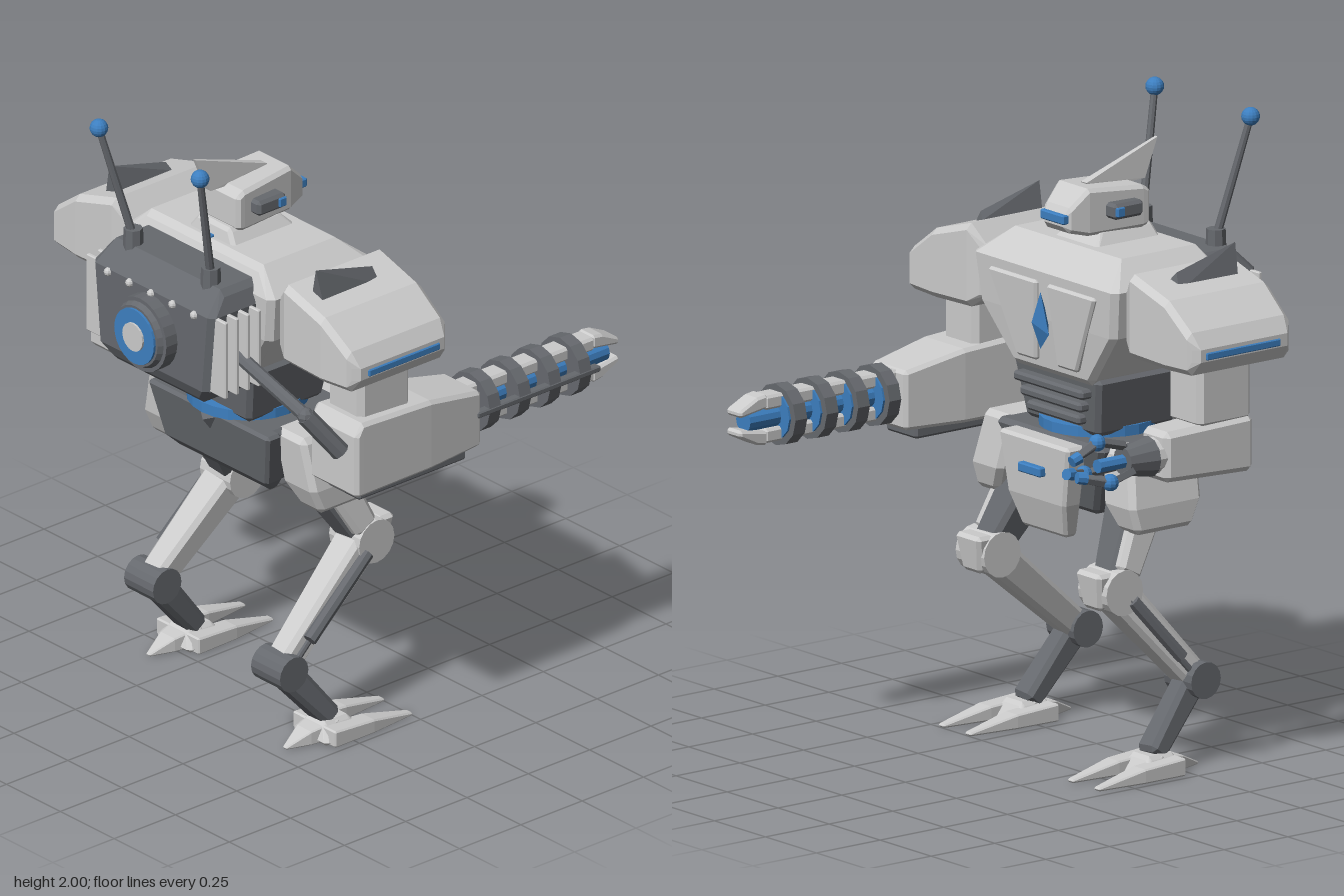
import * as THREE from 'three';
import { ConvexGeometry } from 'three/addons/geometries/ConvexGeometry.js';

const mat = (color) => new THREE.MeshStandardMaterial({ color, flatShading: true });
const light = mat(0xcccccc), dark = mat(0x66696e), blue = mat(0x3d7fc0);
const V = (p) => new THREE.Vector3(...p);

export function createModel() {
  const root = new THREE.Group();

  const add = (name, geo, m, parent = root) => {
    const mesh = new THREE.Mesh(geo, m);
    mesh.name = name;
    parent.add(mesh);
    return mesh;
  };
  const group = (name) => {
    const g = new THREE.Group();
    g.name = name;
    root.add(g);
    return g;
  };

  // Chamfered convex block through sections [u, a0, a1, b0, b1] along an axis; s = -1 mirrors x.
  // Axis y: a = x, b = z.  Axis z: a = x, b = y.  Axis x: a = y, b = z.
  const block = (secs, c = 0.015, axis = 'y', s = 1) => {
    const pts = [];
    const put = (u, a, b) => {
      const p = axis === 'y' ? [a, u, b] : axis === 'z' ? [a, b, u] : [u, a, b];
      pts.push(new THREE.Vector3(p[0] * s, p[1], p[2]));
    };
    const up = Math.sign(secs[secs.length - 1][0] - secs[0][0]);
    secs.forEach(([u, a0, a1, b0, b1], i) => {
      const first = i === 0, last = i === secs.length - 1;
      const v = u + (first ? c : last ? -c : 0) * up;
      for (const [a, da] of [[a0, c], [a1, -c]]) for (const [b, db] of [[b0, c], [b1, -c]]) {
        put(v, a + da, b);
        put(v, a, b + db);
        if (first || last) put(u, a + da, b + db);
      }
    });
    return new ConvexGeometry(pts);
  };
  const box = (x0, x1, y0, y1, z0, z1, c = 0.008, s = 1) =>
    block([[y0, x0, x1, z0, z1], [y1, x0, x1, z0, z1]], c, 'y', s);
  // Place a y-aligned geometry between two points
  const between = (name, a, b, make, m, parent) => {
    const A = V(a), B = V(b), d = B.clone().sub(A);
    const mesh = add(name, make(d.length()), m, parent);
    mesh.position.copy(A).add(B).multiplyScalar(0.5);
    mesh.quaternion.setFromUnitVectors(new THREE.Vector3(0, 1, 0), d.normalize());
    return mesh;
  };
  const rod = (name, a, b, r0, r1, m, parent, n = 8) =>
    between(name, a, b, (h) => new THREE.CylinderGeometry(r1, r0, h, n), m, parent);
  const limb = (name, a, b, [w0, d0], [w1, d1], m, parent) =>
    between(name, a, b, (h) => block([[-h / 2, -w0, w0, -d0, d0], [h / 2, -w1, w1, -d1, d1]], 0.015), m, parent);

  // Torso
  const torso = group('torso');
  add('chest', block([[1.2, -0.2, 0.2, 0.07, 0.42], [1.38, -0.33, 0.33, 0.05, 0.47],
    [1.53, -0.35, 0.35, 0.04, 0.48], [1.61, -0.28, 0.28, 0.12, 0.45]], 0.02), light, torso);
  for (const s of [-1, 1]) {
    add('chestPlate', block([[1.24, 0.05, 0.15, 0.05, 0.1], [1.5, 0.025, 0.26, 0.03, 0.09]], 0.008, 'y', s), light, torso);
  }
  const gem = [[0, 1.47, 0.03], [0, 1.29, 0.03], [0.035, 1.34, 0.035], [-0.035, 1.34, 0.035], [0, 1.38, -0.005], [0, 1.38, 0.06]];
  add('chestCrystal', new ConvexGeometry(gem.map(V)), blue, torso);
  add('abdomen', block([[1.03, -0.18, 0.18, 0.11, 0.42], [1.22, -0.21, 0.21, 0.09, 0.44]]), dark, torso);
  for (let i = 0; i < 3; i++) {
    const w = 0.13 + i * 0.02;
    add('abdomenSlat', box(-w, w, 1.065 + i * 0.045, 1.095 + i * 0.045, 0.075 - i * 0.01, 0.16), dark, torso);
  }
  add('waistRing', new THREE.CylinderGeometry(0.19, 0.19, 0.035, 24), blue, torso).position.set(0, 1.035, 0.265);

  // Pelvis
  const pelvis = group('pelvis');
  add('pelvisCore', block([[0.78, -0.16, 0.16, 0.12, 0.34], [1.02, -0.26, 0.26, 0.06, 0.4]]), dark, pelvis);
  add('rearFlap', block([[0.8, -0.22, 0.22, 0.33, 0.37], [0.84, -0.24, 0.24, 0.33, 0.4],
    [1.02, -0.28, 0.28, 0.37, 0.43]], 0.01), dark, pelvis);
  add('rearFlapNotch', new ConvexGeometry([[-0.05, 1.01, 0.42], [0.05, 1.01, 0.42], [0, 0.95, 0.42], [0, 0.99, 0.45]].map(V)), dark, pelvis);
  add('frontFlap', block([[0.71, -0.11, 0.11, 0.04, 0.09], [0.82, -0.14, 0.14, 0.01, 0.08],
    [1.01, -0.17, 0.17, 0.0, 0.08]], 0.01), light, pelvis);
  add('frontFlapLight', box(-0.055, 0.055, 0.9, 0.93, -0.018, 0.02, 0.004), blue, pelvis);
  for (const s of [-1, 1]) {
    add('hipPlate', block([[0.765, 0.29, 0.4, 0.09, 0.32], [0.85, 0.25, 0.4, 0.07, 0.35],
      [1.02, 0.22, 0.365, 0.09, 0.36]], 0.018, 'y', s), light, pelvis);
  }

  // Legs, one stepping ahead of the other
  for (const s of [-1, 1]) {
    const leg = group(s > 0 ? 'leftLeg' : 'rightLeg');
    const ankleZ = s > 0 ? 0.45 : 0.34, footZ = ankleZ - 0.18;
    const knee = [0.3 * s, 0.585, 0.065], ankle = [0.355 * s, 0.275, ankleZ], toe = [0.375 * s, 0.06, footZ];
    limb('thigh', knee, [0.24 * s, 0.86, 0.22], [0.05, 0.05], [0.07, 0.07], dark, leg);
    limb('thighPlate', [0.33 * s, 0.63, 0.09], [0.3 * s, 0.8, 0.18], [0.04, 0.045], [0.045, 0.055], light, leg);
    rod('kneeJoint', [0.23 * s, 0.585, 0.065], [0.37 * s, 0.585, 0.065], 0.072, 0.072, light, leg, 16);
    add('kneeCap', block([[0.53, 0.25, 0.34, -0.01, 0.03], [0.65, 0.235, 0.355, -0.025, 0.04]], 0.012, 'y', s), light, leg);
    limb('shin', ankle, knee, [0.045, 0.045], [0.058, 0.055], light, leg);
    rod('shinPiston', [0.405 * s, 0.36, ankleZ - 0.08], [0.365 * s, 0.555, 0.1], 0.022, 0.022, dark, leg);
    rod('shinPistonRod', [0.395 * s, 0.3, ankleZ - 0.03], [0.355 * s, 0.58, 0.07], 0.012, 0.012, dark, leg);
    rod('ankleJoint', [0.29 * s, 0.275, ankleZ], [0.425 * s, 0.275, ankleZ], 0.058, 0.058, dark, leg, 16);
    limb('lowerLeg', toe, ankle, [0.045, 0.035], [0.04, 0.045], dark, leg);
    // Foot: hub, two front toes, one heel spur
    add('footHub', block([[0.005, 0.3, 0.46, footZ - 0.08, footZ + 0.08], [0.07, 0.33, 0.43, footZ - 0.05, footZ + 0.06]],
      0.012, 'y', s), light, leg);
    for (const x of [0.32, 0.45]) {
      add('frontToe', block([[footZ + 0.06, x - 0.04, x + 0.03, 0.004, 0.06], [footZ - 0.1, x - 0.035, x + 0.03, 0.004, 0.05],
        [footZ - 0.27, x - 0.015, x + 0.015, 0.004, 0.016]], 0.005, 'z', s), light, leg);
    }
    add('heelSpur', block([[footZ, 0.33, 0.43, 0.004, 0.065], [footZ + 0.1, 0.345, 0.415, 0.004, 0.05],
      [footZ + 0.18, 0.37, 0.39, 0.004, 0.014]], 0.004, 'z', s), light, leg);
  }

  // Shoulders and upper arms
  for (const s of [-1, 1]) {
    const g = group(s > 0 ? 'leftShoulder' : 'rightShoulder');
    add('shoulderPad', block([[0.34, 1.36, 1.55, 0.08, 0.45], [0.4, 1.335, 1.6, 0.06, 0.47], [0.57, 1.33, 1.55, 0.06, 0.47],
      [0.68, 1.335, 1.47, 0.06, 0.46], [0.712, 1.36, 1.44, 0.07, 0.45]], 0.02, 'x', s), light, g);
    add('shoulderLight', box(0.7, 0.718, 1.385, 1.408, 0.11, 0.4, 0.003, s), blue, g);
    const fin = [[0.45, 1.56, 0.4], [0.51, 1.54, 0.4], [0.48, 1.665, 0.41], [0.46, 1.58, 0.17], [0.505, 1.55, 0.17], [0.48, 1.605, 0.18]];
    add('shoulderFin', new ConvexGeometry(fin.map(([x, y, z]) => V([x * s, y, z]))), dark, g);
    add('upperArm', box(0.47, 0.63, 1.14, 1.36, 0.15, 0.36, 0.018, s), light, g);
  }

  // Claw arm
  const claw = group('clawArm');
  add('forearm', block([[0.36, -0.64, -0.49, 0.98, 1.16], [0.02, -0.63, -0.5, 0.99, 1.15]], 0.018, 'z'), light, claw);
  rod('wristCuff', [-0.565, 1.07, 0.1], [-0.565, 1.07, -0.02], 0.065, 0.055, light, claw, 12);
  rod('wrist', [-0.565, 1.07, 0.0], [-0.565, 1.07, -0.1], 0.065, 0.045, dark, claw, 12);
  rod('clawCore', [-0.565, 1.07, -0.1], [-0.565, 1.07, -0.2], 0.022, 0.022, blue, claw);
  for (let i = 0; i < 3; i++) {
    const t = Math.PI / 2 + i * Math.PI * 2 / 3;
    const at = (r, z) => [-0.565 + Math.cos(t) * r, 1.07 + Math.sin(t) * r, z];
    limb('fingerBase', at(0.045, -0.08), at(0.075, -0.19), [0.015, 0.015], [0.014, 0.014], dark, claw);
    add('fingerJoint', new THREE.SphereGeometry(0.027, 10, 8), blue, claw).position.set(...at(0.075, -0.2));
    limb('fingerTip', at(0.075, -0.2), at(0.035, -0.29), [0.018, 0.018], [0.014, 0.014], dark, claw);
    rod('fingerEnd', at(0.04, -0.27), at(0.03, -0.3), 0.02, 0.018, blue, claw);
  }

  // Gun arm
  const gun = group('gunArm');
  add('gunHousing', block([[0.41, 0.45, 0.67, 0.95, 1.17], [0.38, 0.45, 0.67, 0.95, 1.2], [0.1, 0.455, 0.665, 0.95, 1.185],
    [-0.12, 0.475, 0.65, 0.955, 1.145]], 0.012, 'z'), light, gun);
  add('gunKeel', box(0.485, 0.635, 0.92, 0.96, -0.07, 0.37), dark, gun);
  const gx = 0.558, gy = 1.065;
  rod('gunCore', [gx, gy, -0.1], [gx, gy, -0.69], 0.035, 0.035, blue, gun, 12);
  for (let i = 0; i < 4; i++) {
    const z = -0.17 - i * 0.123;
    rod('barrelRing', [gx, gy, z + 0.023], [gx, gy, z - 0.023], 0.097, 0.097, dark, gun, 12);
    rod('ringGlow', [gx, gy, z - 0.02], [gx, gy, z - 0.03], 0.075, 0.075, blue, gun, 12);
  }
  for (const k of [-1, 1]) {
    const bar = [[-0.1, 0.03, 0.075], [-0.63, 0.03, 0.075]], tip = [[-0.62, 0.035, 0.08], [-0.66, 0.035, 0.075], [-0.73, 0.02, 0.045]];
    const sec = ([z, i, o]) => [z, gx - 0.036, gx + 0.036, Math.min(gy + k * i, gy + k * o), Math.max(gy + k * i, gy + k * o)];
    add('barrelRail', block(bar.map(sec), 0.008, 'z'), light, gun);
    add('barrelProng', block(tip.map(sec), 0.008, 'z'), light, gun);
  }
  add('sideRail', box(0.625, 0.655, 1.055, 1.075, -0.6, -0.1, 0.004), dark, gun);

  // Backpack
  const pack = group('backpack');
  add('packBody', block([[1.18, -0.22, 0.22, 0.4, 0.64], [1.24, -0.255, 0.255, 0.42, 0.66], [1.5, -0.28, 0.28, 0.46, 0.66],
    [1.57, -0.26, 0.26, 0.44, 0.61]], 0.02), dark, pack);
  rod('thrusterHousing', [0, 1.365, 0.64], [0, 1.365, 0.705], 0.122, 0.122, dark, pack, 24);
  rod('thrusterRim', [0, 1.365, 0.7], [0, 1.365, 0.722], 0.112, 0.1, dark, pack, 24);
  rod('thrusterGlow', [0, 1.365, 0.7], [0, 1.365, 0.73], 0.092, 0.092, blue, pack, 24);
  rod('thrusterHub', [0, 1.365, 0.7], [0, 1.365, 0.737], 0.047, 0.047, light, pack, 16);
  for (let i = -2; i <= 2; i++) {
    add('rivet', new THREE.SphereGeometry(0.014, 8, 6), light, pack).position.set(i * 0.1, 1.49, 0.66);
  }
  for (const s of [-1, 1]) {
    for (let i = 0; i < 4; i++) {
      const z = 0.5 + i * 0.045;
      add('sideVane', box(0.25, 0.323, 1.24, 1.5, z - 0.007, z + 0.007, 0.003, s), light, pack);
    }
    rod('antennaBase', [0.18 * s, 1.54, 0.575], [0.18 * s, 1.62, 0.575], 0.033, 0.03, dark, pack);
    rod('antennaRod', [0.18 * s, 1.59, 0.575], [0.235 * s, 1.97, 0.667], 0.014, 0.011, dark, pack);
    add('antennaTip', new THREE.SphereGeometry(0.029, 14, 10), blue, pack).position.set(0.235 * s, 1.971, 0.667);
  }
  // Feed hose from the backpack to the gun arm
  const hose = [[0.25, 1.355, 0.55], [0.57, 1.24, 0.53], [0.63, 1.11, 0.44]];
  rod('hoseUpper', hose[0], hose[1], 0.022, 0.022, dark, pack);
  rod('hoseLower', hose[1], hose[2], 0.03, 0.03, dark, pack);
  add('hoseElbow', new THREE.SphereGeometry(0.028, 8, 6), dark, pack).position.set(...hose[1]);

  // Head
  const head = group('head');
  add('neck', block([[1.59, -0.11, 0.11, 0.16, 0.42], [1.655, -0.08, 0.08, 0.2, 0.41]], 0.012), light, head);
  add('neckLight', box(-0.015, 0.015, 1.607, 1.617, 0.39, 0.43, 0.002), blue, head);
  add('skull', block([[0.39, -0.095, 0.095, 1.645, 1.765], [0.36, -0.095, 0.095, 1.64, 1.775], [0.16, -0.08, 0.08, 1.64, 1.79],
    [0.1, -0.065, 0.065, 1.655, 1.735], [0.08, -0.055, 0.055, 1.665, 1.715]], 0.012, 'z'), light, head);
  add('visor', box(-0.058, 0.058, 1.685, 1.715, 0.073, 0.115, 0.004), blue, head);
  for (const s of [-1, 1]) {
    add('earPod', box(0.07, 0.13, 1.69, 1.74, 0.22, 0.335, 0.01, s), dark, head);
    add('earLight', box(0.1, 0.137, 1.7, 1.73, 0.225, 0.255, 0.003, s), blue, head);
  }
  const crest = [[0.485, 1.89], [0.2, 1.79], [0.22, 1.76], [0.43, 1.77]];
  add('crest', new ConvexGeometry(crest.flatMap(([z, y], i) => [-1, 1].map((k) => V([k * (i ? 0.014 : 0.006), y, z])))), light, head);

  return root;
}
